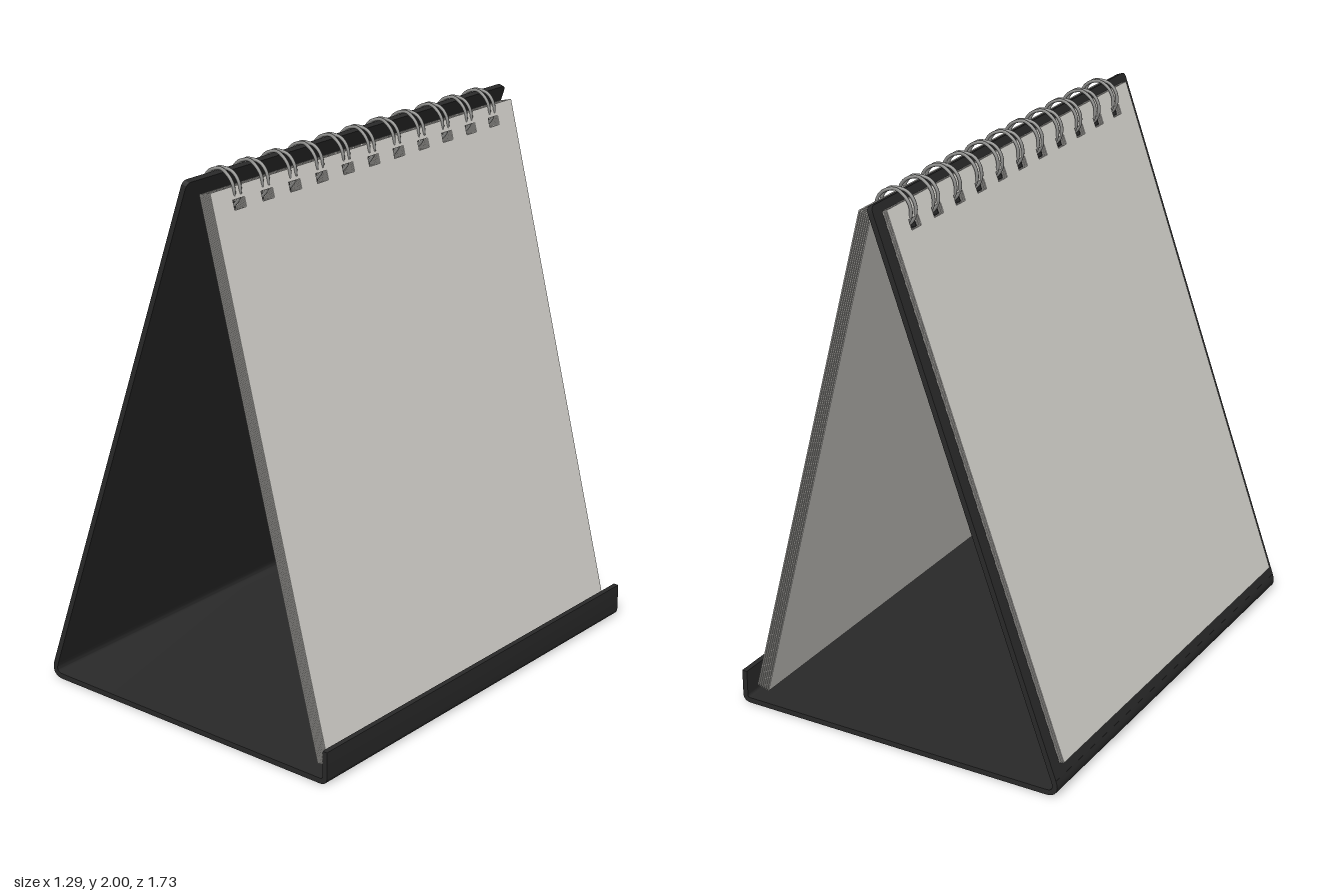
import * as THREE from 'three';
import { toCreasedNormals } from 'three/addons/utils/BufferGeometryUtils.js';

const RINGS = 11, PITCH = 0.139, HALF = 0.866;
const ringZ = (i) => (i - (RINGS - 1) / 2) * PITCH;

// Flat board with a row of punched holes near its top edge (local: x across, y up, z thickness)
function punchedBoard(halfW, length, thick, holeDrop, holeH, r) {
  const s = new THREE.Shape();
  s.moveTo(-halfW, 0);
  s.lineTo(halfW, 0);
  s.lineTo(halfW, length - r);
  s.quadraticCurveTo(halfW, length, halfW - r, length);
  s.lineTo(-halfW + r, length);
  s.quadraticCurveTo(-halfW, length, -halfW, length - r);
  s.closePath();
  const y0 = length - holeDrop - holeH / 2, w = 0.029;
  for (let i = 0; i < RINGS; i++) {
    const c = ringZ(i), h = new THREE.Path();
    h.moveTo(c - w, y0);
    h.lineTo(c - w, y0 + holeH);
    h.lineTo(c + w, y0 + holeH);
    h.lineTo(c + w, y0);
    h.closePath();
    s.holes.push(h);
  }
  const g = new THREE.ExtrudeGeometry(s, { depth: thick, bevelEnabled: false, curveSegments: 4 });
  return g.translate(0, 0, -thick / 2);
}

// Matrix that leans a board from point a up along v, facing n, shifted along both
function lean(a, v, n, along, out) {
  const u = new THREE.Vector3().crossVectors(v, n);
  const p = a.clone().addScaledVector(v, along).addScaledVector(n, out);
  return new THREE.Matrix4().makeBasis(u, v, n).setPosition(p);
}

// Bent strip of even thickness following a path in the side plane
function bentStrip(points, t, depth) {
  const left = [], right = [];
  points.forEach((p, i) => {
    const a = points[Math.max(i - 1, 0)], b = points[Math.min(i + 1, points.length - 1)];
    const d = b.clone().sub(a).normalize();
    left.push(new THREE.Vector2(p.x - d.y * t / 2, p.y + d.x * t / 2));
    right.push(new THREE.Vector2(p.x + d.y * t / 2, p.y - d.x * t / 2));
  });
  const shape = new THREE.Shape([...right, ...left.reverse()]);
  const g = new THREE.ExtrudeGeometry(shape, { depth, bevelEnabled: false });
  return toCreasedNormals(g.translate(0, 0, -depth / 2), 0.6);
}

export function createModel() {
  const root = new THREE.Group();
  root.name = 'deskCalendar';
  const mat = (name, color) => {
    const m = new THREE.MeshStandardMaterial({ color });
    m.name = name;
    return m;
  };
  const card = mat('blackCard', 0x292929);
  const paper = mat('paper', 0xd3d1cc);
  const metal = mat('ringMetal', 0x8c8c8a);
  const add = (parent, name, geo, material) => {
    const m = new THREE.Mesh(geo, material);
    m.name = name;
    parent.add(m);
    return m;
  };
  const group = (name) => {
    const g = new THREE.Group();
    g.name = name;
    root.add(g);
    return g;
  };

  // Stand: leaning back panel
  const stand = group('stand');
  const a = new THREE.Vector3(-0.632, 0.06, 0), b = new THREE.Vector3(0.056, 1.982, 0);
  const v = b.clone().sub(a).normalize(), n = new THREE.Vector3(-v.y, v.x, 0);
  const len = a.distanceTo(b);
  const panel = punchedBoard(HALF, len, 0.02, 0.11, 0.036, 0.022);
  add(stand, 'backPanel', panel.applyMatrix4(lean(a, v, n, 0, 0)), card);

  // Stand: base with a rounded rear fold and a front lip
  const path = new THREE.Path();
  path.moveTo(a.x, a.y);
  path.quadraticCurveTo(-0.65, 0.01, -0.6, 0.01);
  path.lineTo(0.615, 0.01);
  path.quadraticCurveTo(0.635, 0.01, 0.635, 0.03);
  path.lineTo(0.635, 0.125);
  add(stand, 'baseAndLip', bentStrip(path.getPoints(8), 0.02, HALF * 2), card);

  // Turned sheets lying on the outside of the back panel
  const turned = group('turnedSheets');
  for (let i = 0; i < 3; i++) {
    const g = punchedBoard(0.82, len - 0.075, 0.004, 0.08, 0.036, 0.004);
    add(turned, 'turnedSheet', g.applyMatrix4(lean(a, v, n, 0.045, 0.015 + i * 0.0075)), paper);
  }

  // Remaining sheets hanging down to the lip
  const pages = group('frontSheets');
  const c = new THREE.Vector3(0.59, 0.045, 0), d = new THREE.Vector3(0.1, 1.94, 0);
  const v2 = d.clone().sub(c).normalize(), n2 = new THREE.Vector3(v2.y, -v2.x, 0);
  for (let i = 0; i < 7; i++) {
    const g = punchedBoard(0.82, c.distanceTo(d), 0.004, 0.06, 0.034, 0.004);
    add(pages, 'frontSheet', g.applyMatrix4(lean(c, v2, n2, 0, (i - 3) * 0.0075)), paper);
  }

  // Twin wire rings, each pair pinched together at the top
  const rings = group('rings');
  const wire = (side) => {
    const pts = [];
    for (let k = 0; k < 28; k++) {
      const t = (k / 28) * Math.PI * 2;
      const pinch = Math.pow(Math.max(Math.sin(t), 0), 16);
      pts.push(new THREE.Vector3(0.061 + 0.067 * Math.cos(t), 1.927 + 0.067 * Math.sin(t),
        side * (0.015 - 0.008 * pinch)));
    }
    return new THREE.TubeGeometry(new THREE.CatmullRomCurve3(pts, true), 40, 0.006, 8, true);
  };
  const wires = [wire(-1), wire(1)];
  for (let i = 0; i < RINGS; i++) {
    for (const g of wires) add(rings, 'ringWire', g, metal).position.z = ringZ(i);
  }
  return root;
}
